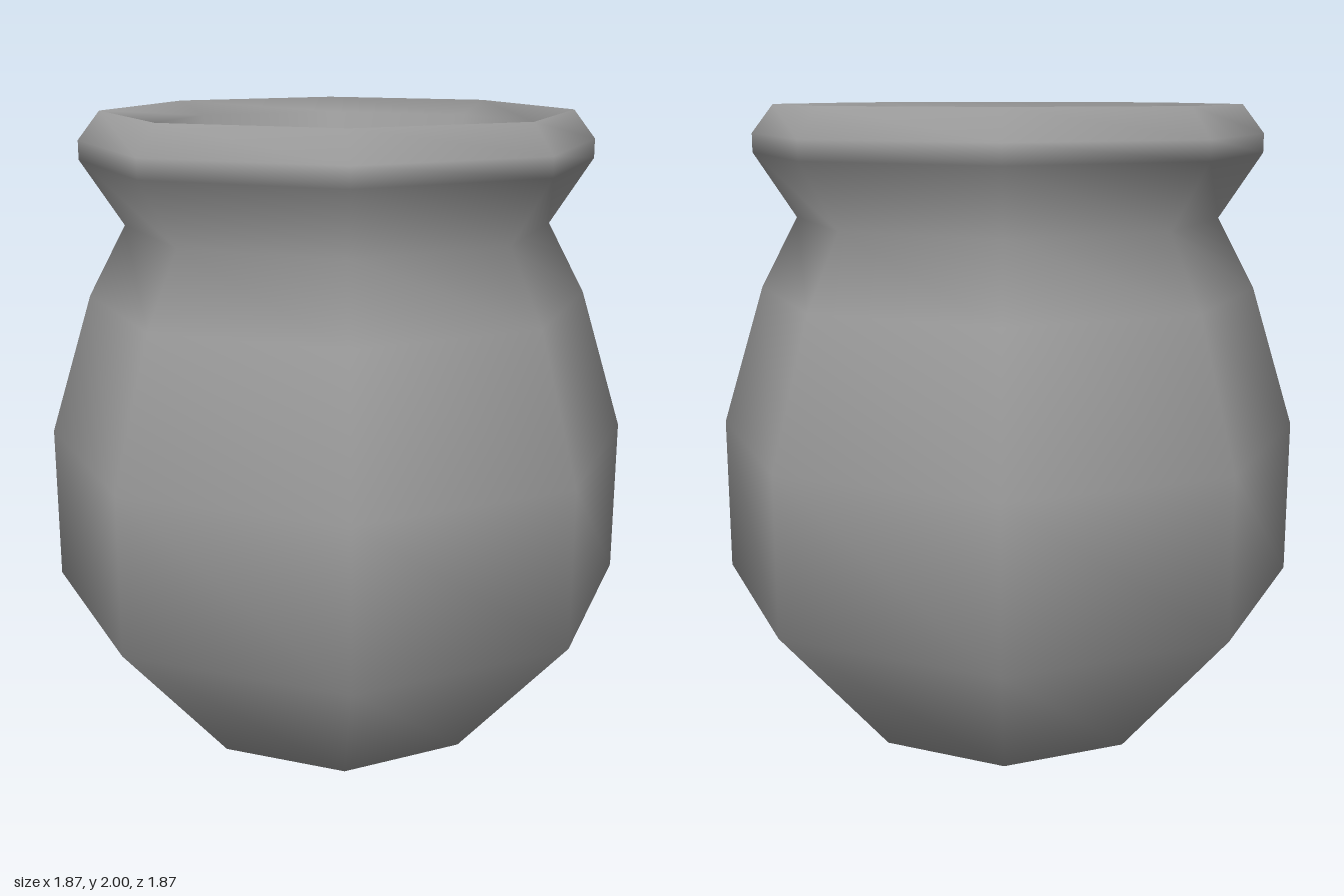
import * as THREE from 'three';
import { mergeVertices } from 'three/addons/utils/BufferGeometryUtils.js';

const SIDES = 8;

// Lathe with welded seam and poles, so the shading runs smoothly everywhere
function smoothLathe(points) {
  const lathe = new THREE.LatheGeometry(points, SIDES);
  lathe.deleteAttribute('uv');
  lathe.deleteAttribute('normal');
  const welded = mergeVertices(lathe, 1e-4);
  welded.computeVertexNormals();
  return welded;
}

export function createModel() {
  const group = new THREE.Group();
  group.name = 'pot';

  // Closed section: up the outside, over the rim, down into the hollow
  const profile = [
    // base and belly
    [0, 0], [0.53, 0], [0.935, 0.47], [0.935, 0.97], [0.795, 1.42],
    // neck and flared rim
    [0.675, 1.645], [0.81, 1.85], [0.81, 1.91], [0.74, 2],
    // inner lip and tapering hollow
    [0.63, 1.955], [0, 0.3],
  ].map(([r, y]) => new THREE.Vector2(r, y));

  const pot = new THREE.Mesh(
    smoothLathe(profile),
    new THREE.MeshStandardMaterial({ color: 0x9b9b9b })
  );
  pot.name = 'potBody';
  group.add(pot);
  return group;
}
